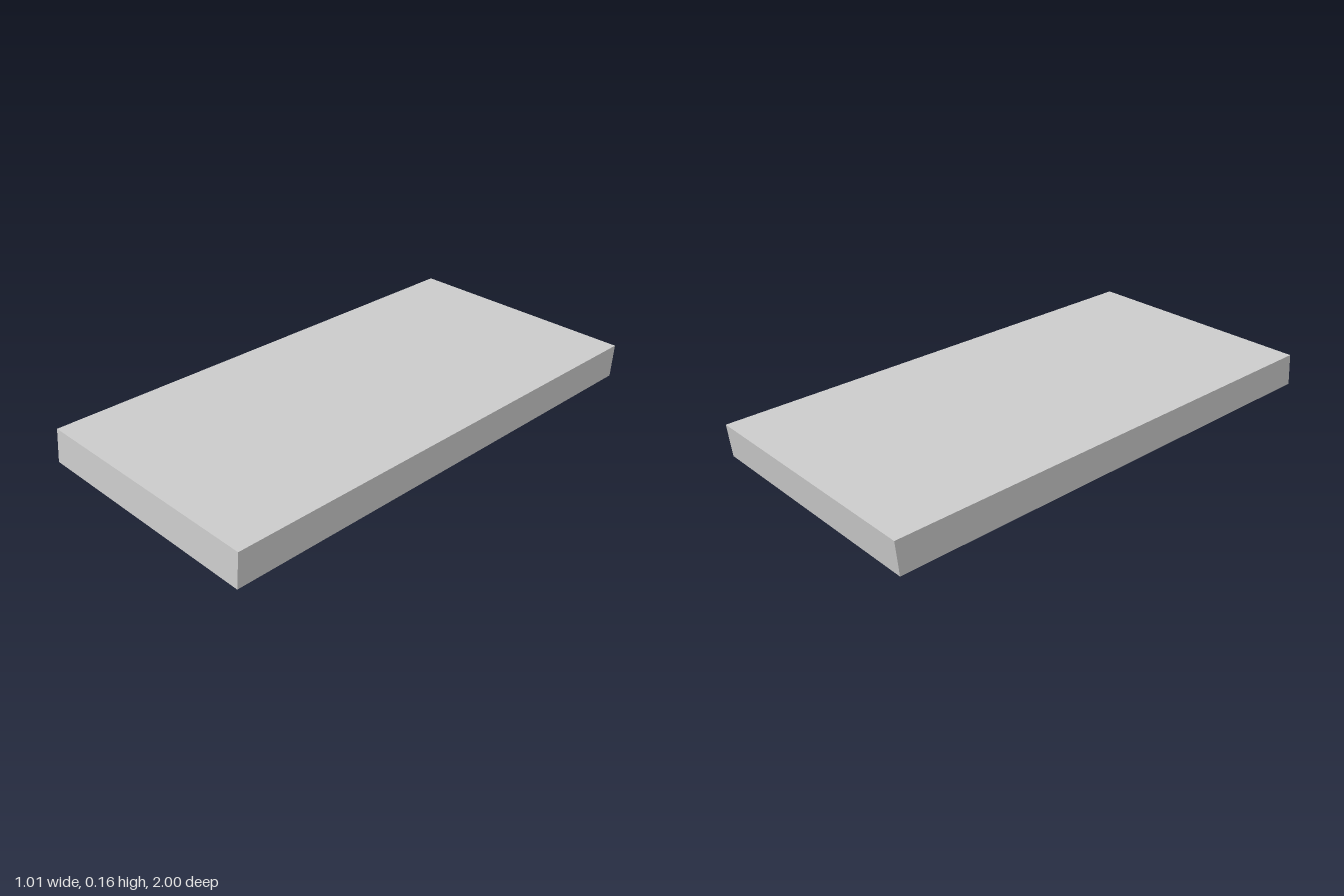
import * as THREE from 'three';

const material = new THREE.MeshStandardMaterial({ color: 0xcccccc, flatShading: true });

// Slight lean of the whole slab: front edge raised, end faces raked
function lean(geometry) {
  const p = geometry.attributes.position;
  for (let i = 0; i < p.count; i++) {
    const y = p.getY(i), z = p.getZ(i);
    p.setY(i, y + 0.003 * z);
    p.setZ(i, z - 0.095 * (y - 0.093));
  }
  geometry.computeVertexNormals();
  return geometry;
}

// Rectangle with cut corners, given by half sizes and corner cut
function cutRectangle(w, h, c) {
  return new THREE.Shape([
    [w, c - h], [w, h - c], [w - c, h], [c - w, h],
    [-w, h - c], [-w, c - h], [c - w, -h], [w - c, -h],
  ].map(([x, y]) => new THREE.Vector2(x, y)));
}

function part(name, geometry) {
  const mesh = new THREE.Mesh(lean(geometry), material);
  mesh.name = name;
  return mesh;
}

export function createModel() {
  const group = new THREE.Group();
  group.name = 'slab';

  // Flat body
  const body = new THREE.BoxGeometry(1.01, 0.133, 1.987);
  body.translate(0, 0.0935, 0);
  group.add(part('body', body));

  // Two columns of four bevelled pads underneath
  const bevel = 0.033;
  for (const x of [-0.213, 0.211]) {
    for (const z of [0.704, 0.262, -0.184, -0.648]) {
      const pad = new THREE.ExtrudeGeometry(cutRectangle(0.17 - bevel, 0.19 - bevel, 0.02), {
        depth: 0.022, bevelEnabled: true, bevelThickness: 0.008, bevelSize: bevel, bevelSegments: 1,
      });
      pad.rotateX(-Math.PI / 2);
      pad.translate(x, 0.011, z);
      group.add(part('pad', pad));
    }
  }
  return group;
}
